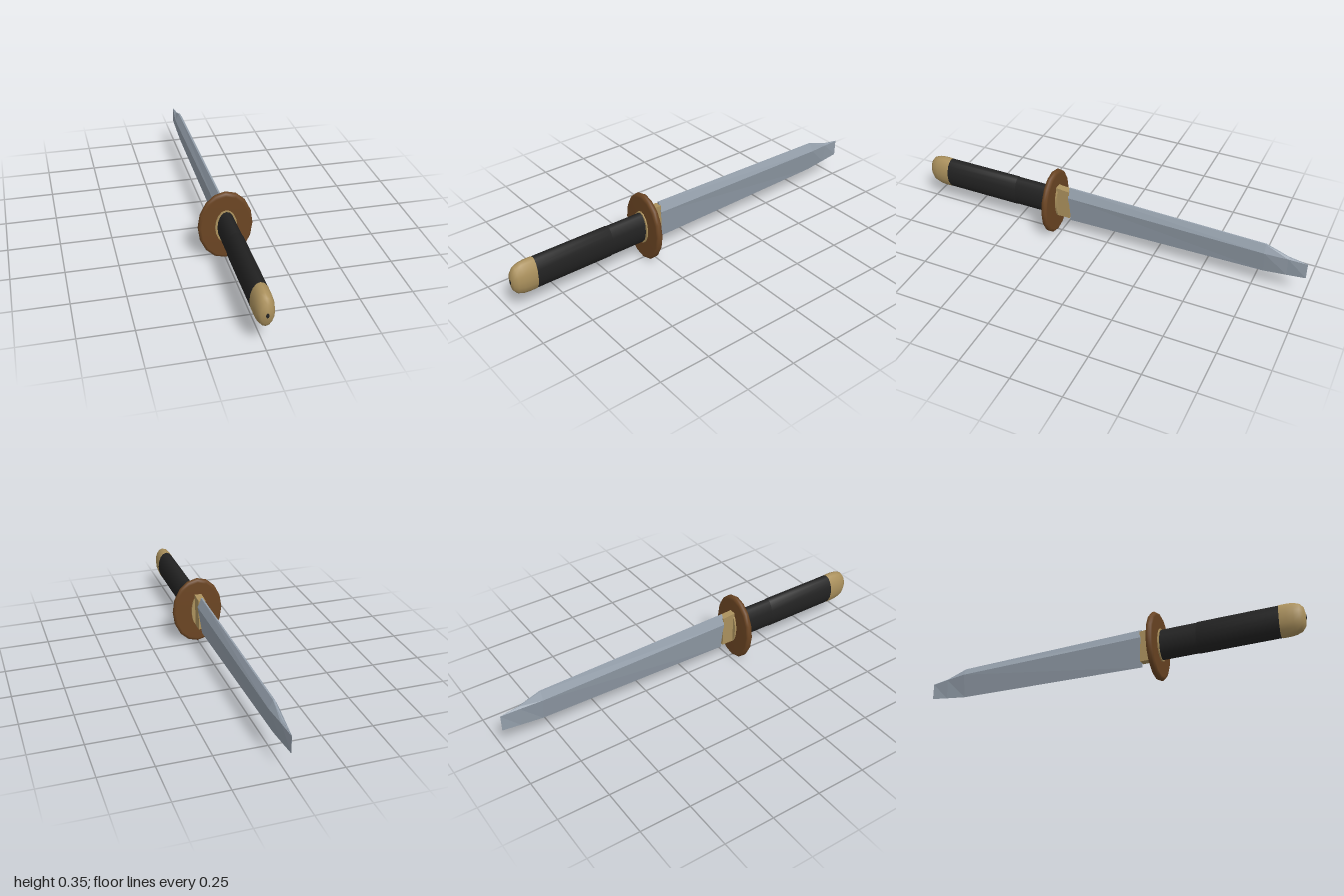
import * as THREE from 'three';

const mat = (name, color, extra = {}) => {
  const m = new THREE.MeshStandardMaterial({ color, ...extra });
  m.name = name;
  return m;
};

export function createModel() {
  const brass = mat('brass', 0xab915d);
  const bronze = mat('brown bronze', 0x6b4523);
  const wrap = mat('black wrap', 0x222222);
  const steel = mat('steel', 0x949fab, { flatShading: true });
  const group = new THREE.Group();
  const add = (name, geometry, material) => {
    const mesh = new THREE.Mesh(geometry, material);
    mesh.name = name;
    group.add(mesh);
  };

  // Oval part turned around z; profile is [radius factor, z] from back to front
  const oval = (name, material, rx, ry, profile, cy = 0.178) => {
    const g = new THREE.LatheGeometry(profile.map(([r, z]) => new THREE.Vector2(r, z)), 16);
    g.rotateX(Math.PI / 2).scale(rx, ry, 1).translate(0, cy, 0);
    add(name, g, material);
  };

  // Handle
  oval('pommelCap', brass, 0.045, 0.083,
    [[0.97, 0.88], [1, 0.885], [1, 0.92], [0.96, 0.95], [0.83, 0.977], [0.58, 0.993], [0.15, 1], [0, 1]]);
  oval('pommelHole', wrap, 0.007, 0.012, [[1, 0.999], [0.95, 1.001], [0, 1.001]], 0.176);
  oval('rearGrip', wrap, 0.045, 0.081, [[0, 0.49], [1, 0.49], [1, 0.885]]);
  oval('frontGrip', wrap, 0.042, 0.079, [[1, 0.303], [1, 0.495]]);
  oval('gripCollar', brass, 0.052, 0.085, [[1, 0.296], [1, 0.306], [1, 0.306], [0, 0.306]]);

  // Guard with a rounded rim
  oval('guard', bronze, 0.13, 0.175,
    [[0, 0.267], [0.9, 0.267], [0.97, 0.271], [1, 0.279], [1, 0.288], [0.97, 0.296], [0.9, 0.3], [0, 0.3]], 0.176);

  // Blade collar
  const collar = new THREE.BoxGeometry(0.036, 0.165, 0.075);
  const p = collar.attributes.position;
  for (let i = 0; i < p.count; i++) {
    if (p.getY(i) > 0 && p.getZ(i) < 0) p.setY(i, p.getY(i) - 0.006);
  }
  collar.translate(0, 0.187, 0.235);
  collar.computeVertexNormals();
  add('bladeCollar', collar, brass);
  oval('guardWasher', brass, 0.036, 0.085, [[0, 0.258], [1, 0.258], [1, 0.258], [1, 0.27]]);

  // Blade sections: z, edge y, ridge y, spine y, ridge half width, spine half width
  const sections = [
    [0.2, 0.08, 0.23, 0.278, 0.023, 0.004],
    [-0.8, 0.1, 0.219, 0.258, 0.023, 0.004],
    [-0.91, 0.113, 0.213, 0.221, 0.0105, 0.002],
    [-1, 0.124, 0.205, 0.207, 0.0005, 0.0003],
  ];
  const verts = [];
  for (const [z, edge, ridge, spine, w, s] of sections) {
    verts.push(0, edge, z, w, ridge, z, s, spine, z, -s, spine, z, -w, ridge, z);
  }
  const index = [];
  for (let i = 0; i < sections.length - 1; i++) {
    for (let j = 0; j < 5; j++) {
      const a = i * 5 + j, b = i * 5 + (j + 1) % 5;
      index.push(a, a + 5, b, b, a + 5, b + 5);
    }
  }
  const last = (sections.length - 1) * 5;
  for (let j = 1; j < 4; j++) index.push(0, j, j + 1, last, last + j + 1, last + j);
  let blade = new THREE.BufferGeometry();
  blade.setAttribute('position', new THREE.Float32BufferAttribute(verts, 3));
  blade.setIndex(index);
  blade = blade.toNonIndexed();
  blade.computeVertexNormals();
  add('blade', blade, steel);

  return group;
}
